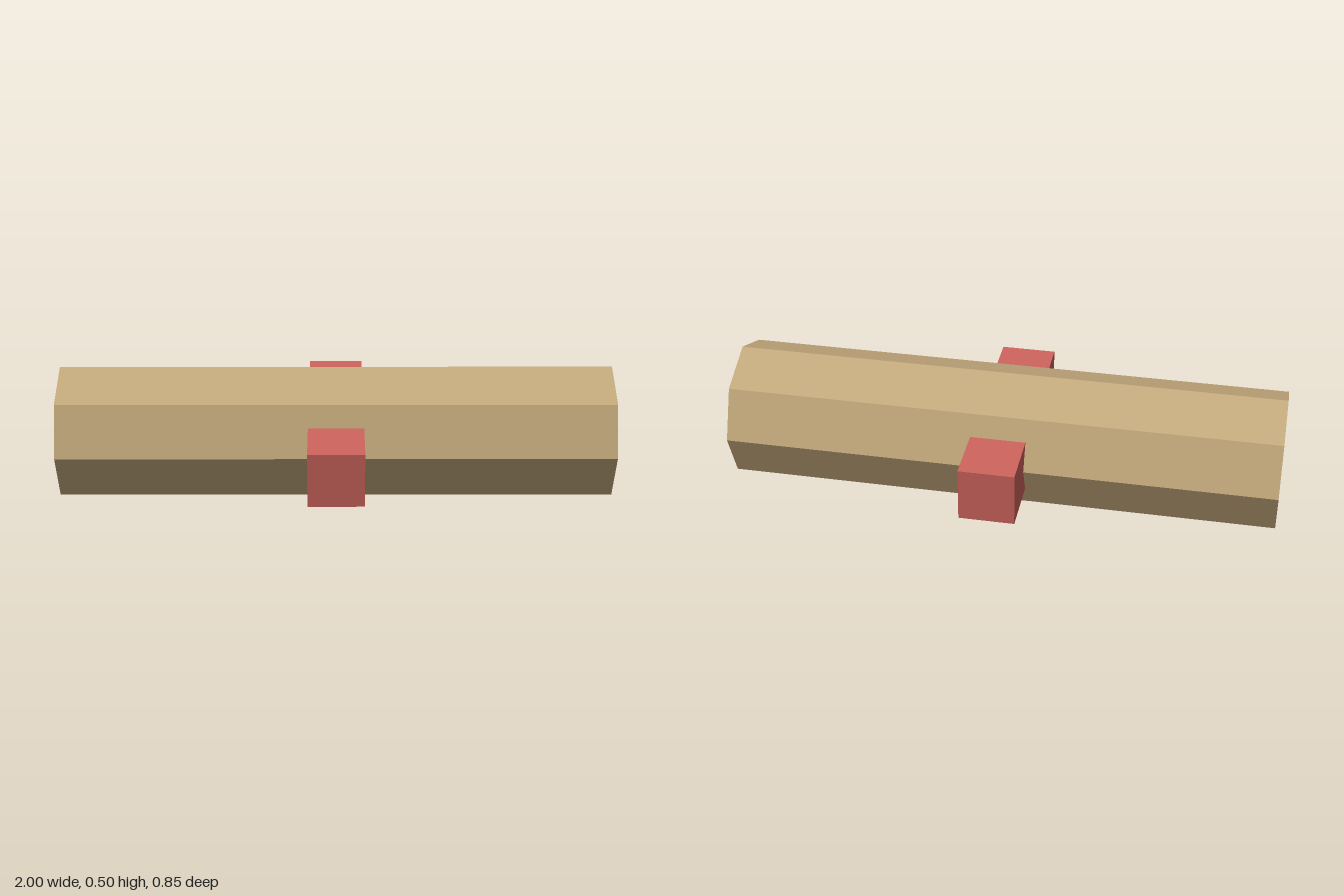
import * as THREE from 'three';

const CENTER_Y = 0.252;

export function createModel() {
  const group = new THREE.Group();
  const wood = new THREE.MeshStandardMaterial({ color: 0xc8ad7f, flatShading: true });
  const red = new THREE.MeshStandardMaterial({ color: 0xd0655e, flatShading: true });

  // Eight-sided log lying along x, with an edge at the top
  const log = new THREE.Mesh(new THREE.CylinderGeometry(0.251, 0.251, 2, 8), wood);
  log.name = 'log';
  log.rotation.z = Math.PI / 2;
  log.position.y = CENTER_Y;
  group.add(log);

  // Square peg running through the middle, front to back
  const peg = new THREE.Mesh(new THREE.BoxGeometry(0.2, 0.2, 0.85), red);
  peg.name = 'crossPeg';
  peg.position.y = CENTER_Y;
  group.add(peg);

  return group;
}
